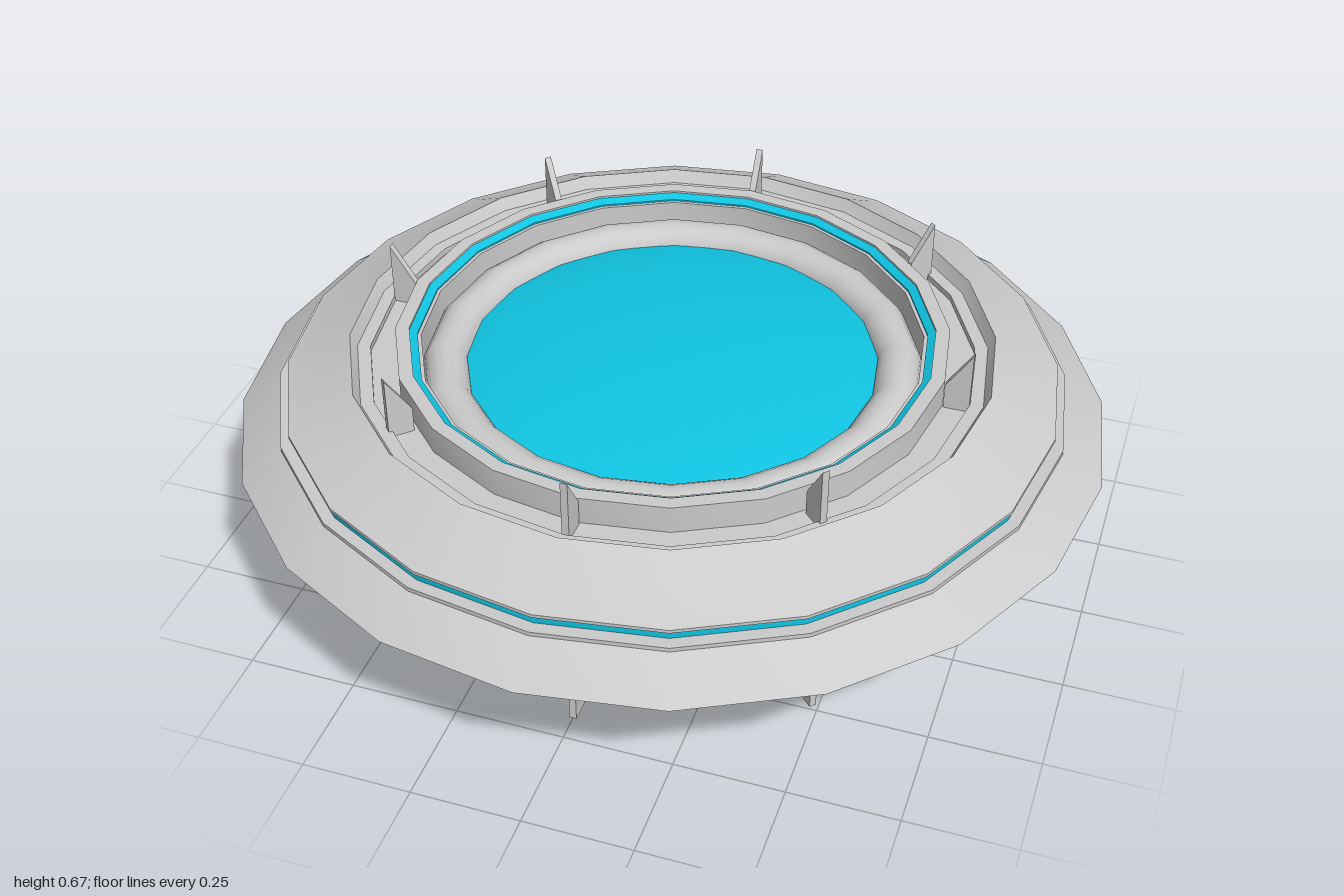
import * as THREE from 'three';
import { toCreasedNormals } from 'three/addons/utils/BufferGeometryUtils.js';

const SIDES = 20;

export function createModel() {
  const model = new THREE.Group();
  const grey = new THREE.MeshStandardMaterial({ color: 0xcccccc });
  const cyan = new THREE.MeshStandardMaterial({ color: 0x10c4e2 });

  function add(name, geometry, material, parent = model) {
    const mesh = new THREE.Mesh(geometry, material);
    mesh.name = name;
    parent.add(mesh);
    return mesh;
  }

  // Twenty-sided turned part, smooth around and sharp along its profile edges
  function turned(profile) {
    const points = profile.map(([r, y]) => new THREE.Vector2(r, y));
    return toCreasedNormals(new THREE.LatheGeometry(points, SIDES), 0.4);
  }

  // Saucer hull: flat underside, sloped rim, light groove, upper slope, fin channel, inner ring
  const hull = turned([
    [0, 0.375], [1, 0.375], [0.905, 0.443], [0.905, 0.453], [0.87, 0.453],
    [0.87, 0.474], [0.885, 0.474], [0.885, 0.482], [0.865, 0.489], [0.735, 0.56],
    [0.72, 0.53], [0.69, 0.53], [0.69, 0.515], [0.63, 0.515],
    [0.63, 0.58], [0.598, 0.58], [0.598, 0.562], [0.572, 0.562], [0.572, 0.48], [0.45, 0.48],
  ]);
  add('hull', hull, grey);

  // Light strips in the rim groove and on the inner ring
  add('rimLight', turned([[0.878, 0.454], [0.878, 0.473]]), cyan);
  add('innerLight', turned([[0.598, 0.575], [0.58, 0.566], [0.58, 0.56]]), cyan);

  // Rounded collar around the core
  const collar = add('collar', new THREE.TorusGeometry(0.52, 0.052, 16, SIDES), grey);
  collar.rotation.x = Math.PI / 2;
  collar.position.y = 0.485;

  // Flattened glowing core, bulging through the underside
  const core = add('core', new THREE.SphereGeometry(1, 48, 24), cyan);
  core.scale.set(0.57, 0.095, 0.57);
  core.position.y = 0.447;

  // Eight upright legs that end in slanted fins above the hull
  const legShape = new THREE.Shape([
    new THREE.Vector2(0.632, 0), new THREE.Vector2(0.69, 0),
    new THREE.Vector2(0.69, 0.665), new THREE.Vector2(0.632, 0.575),
  ]);
  const thickness = 0.016;
  const legGeometry = new THREE.ExtrudeGeometry(legShape, { depth: thickness, bevelEnabled: false });
  legGeometry.translate(0, 0, -thickness / 2);
  const legs = new THREE.Group();
  legs.name = 'legs';
  model.add(legs);
  for (let i = 0; i < 8; i++) {
    add('finnedLeg', legGeometry, grey, legs).rotation.y = (i * Math.PI) / 4;
  }

  return model;
}
